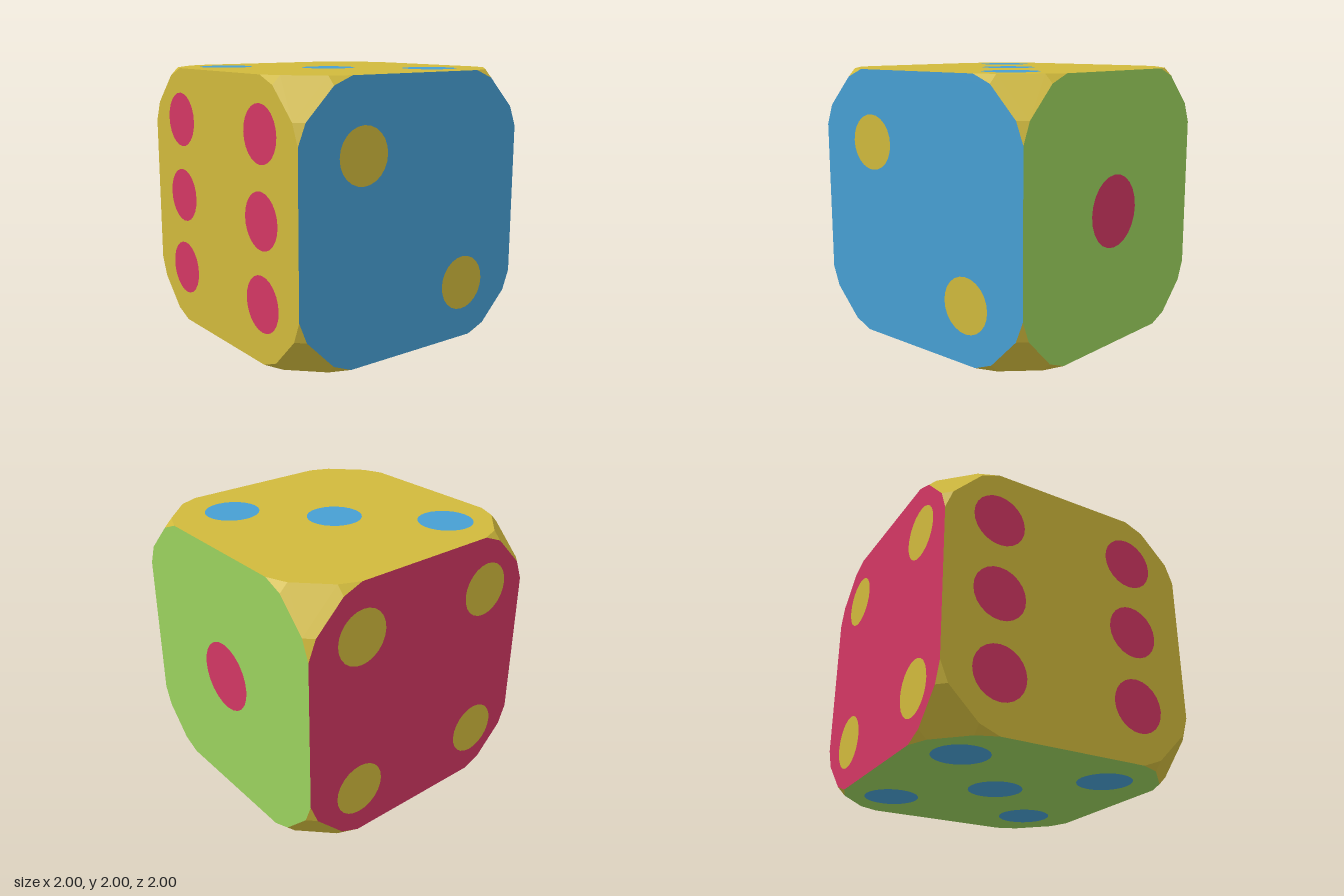
import * as THREE from 'three';

const paint = (name, hex) => {
  const m = new THREE.MeshStandardMaterial({ color: hex });
  m.name = name;
  return m;
};

// Outline of a face: each corner is cut by three straight edges
const A = 0.57, B = 0.72, C = 0.94;
const PIP = 0.205;

function circle(path, [x, y], r) {
  const n = 24;
  path.setFromPoints(Array.from({ length: n }, (_, i) => {
    const t = (i / n) * Math.PI * 2;
    return new THREE.Vector2(x + r * Math.cos(t), y + r * Math.sin(t));
  }));
  return path;
}

// One side of the die facing local +z, with flush round pips set into it
function makeSide({ name, face, pip, pips, r = PIP, rot }) {
  const side = new THREE.Group();
  side.name = name;
  const quarter = [[1, A], [C, B], [B, C], [A, 1]];
  const outline = [];
  for (let k = 0; k < 4; k++) {
    for (const [x, y] of quarter) {
      outline.push(new THREE.Vector2(x, y).rotateAround(new THREE.Vector2(), k * Math.PI / 2));
    }
  }
  const shape = new THREE.Shape(outline);
  shape.holes = pips.map(p => circle(new THREE.Path(), p, r));
  const add = (geo, mat, label) => {
    const mesh = new THREE.Mesh(geo.translate(0, 0, 1), mat);
    mesh.name = label;
    side.add(mesh);
  };
  add(new THREE.ShapeGeometry(shape), face, name + 'Panel');
  pips.forEach((p, i) =>
    add(new THREE.ShapeGeometry(circle(new THREE.Shape(), p, r)), pip, name + 'Pip' + (i + 1)));
  side.rotation.set(rot[0], rot[1], 0);
  return side;
}

// Faceted corner: a hexagon with a small triangle running out along each cube edge
function makeCorner(sx, sy, sz, mat) {
  const pts = [
    [1, B, C], [1, C, B], [C, 1, B], [B, 1, C], [B, C, 1], [C, B, 1],
    [1, 1, A], [A, 1, 1], [1, A, 1],
  ];
  const tris = [[0, 1, 2], [0, 2, 3], [0, 3, 4], [0, 4, 5], [2, 1, 6], [4, 3, 7], [0, 5, 8]];
  const pos = [];
  for (const t of tris) {
    const order = sx * sy * sz > 0 ? t : [t[0], t[2], t[1]];
    for (const i of order) pos.push(pts[i][0] * sx, pts[i][1] * sy, pts[i][2] * sz);
  }
  const geo = new THREE.BufferGeometry();
  geo.setAttribute('position', new THREE.Float32BufferAttribute(pos, 3));
  geo.computeVertexNormals();
  const mesh = new THREE.Mesh(geo, mat);
  mesh.name = 'corner';
  return mesh;
}

export function createModel() {
  const yellow = paint('mustard yellow', 0xd0b93c);
  const blue = paint('sky blue', 0x479fd3);
  const green = paint('lime green', 0x9bd15d);
  const red = paint('raspberry red', 0xd23763);

  const model = new THREE.Group();
  model.name = 'die';
  const body = new THREE.Group();
  body.name = 'dieBody';
  body.position.y = 1;
  model.add(body);

  const H = Math.PI / 2;
  const sides = [
    { name: 'frontSide', face: blue, pip: yellow, rot: [0, 0],
      pips: [[-0.47, 0.47], [0.48, -0.575]] },
    { name: 'rightSide', face: green, pip: red, rot: [0, H], r: 0.268,
      pips: [[0, 0]] },
    { name: 'topSide', face: yellow, pip: blue, rot: [-H, 0],
      pips: [[-0.59, 0.585], [-0.02, 0], [0.51, -0.565]] },
    { name: 'backSide', face: red, pip: yellow, rot: [0, Math.PI],
      pips: [[-0.56, 0.6], [0.61, 0.59], [-0.56, -0.63], [0.605, -0.62]] },
    { name: 'leftSide', face: yellow, pip: red, rot: [0, -H],
      pips: [-0.57, 0.555].flatMap(x => [0.61, 0.02, -0.565].map(y => [x, y])) },
    { name: 'bottomSide', face: green, pip: blue, rot: [H, 0],
      pips: [[0.57, -0.62], [-0.56, 0.56], [0.55, 0.56], [-0.57, -0.62], [0, -0.03]] },
  ];
  for (const s of sides) body.add(makeSide(s));

  for (const x of [-1, 1]) for (const y of [-1, 1]) for (const z of [-1, 1]) {
    body.add(makeCorner(x, y, z, yellow));
  }
  return model;
}
